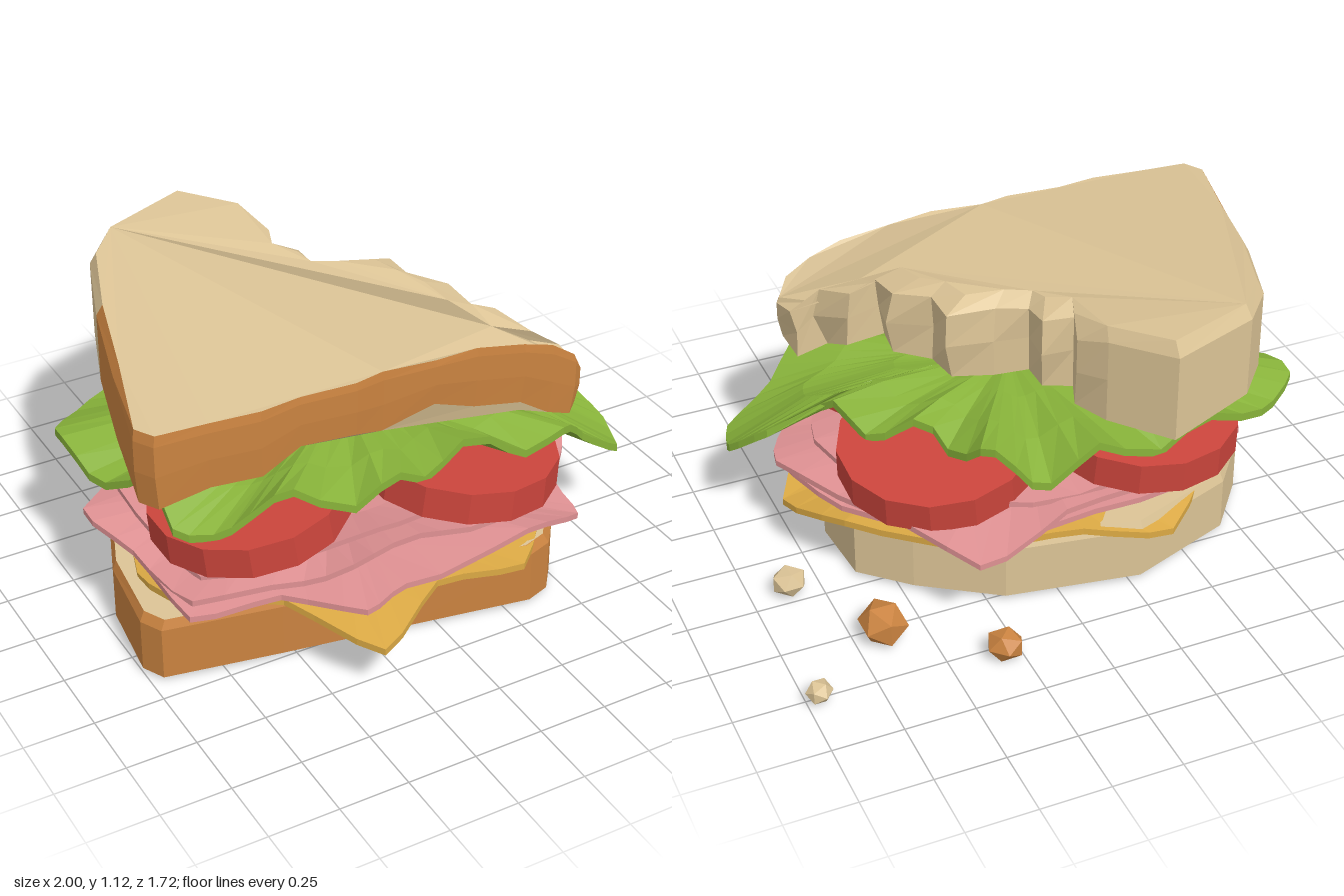
import * as THREE from 'three';

const paint = (name, color, side = THREE.FrontSide) =>
  Object.assign(new THREE.MeshStandardMaterial({ color, flatShading: true, side }), { name });

function makeMesh(name, triangles, material) {
  const geometry = new THREE.BufferGeometry();
  geometry.setAttribute('position', new THREE.Float32BufferAttribute(triangles.flat(), 3));
  geometry.computeVertexNormals();
  const mesh = new THREE.Mesh(geometry, material);
  mesh.name = name;
  return mesh;
}

// Bread slice: rows are [x, z, topY, bottomY]; the first crustCount edges are crust.
// Levels are [height fraction, front scale, bite scale, back scale].
function breadSlice(name, rows, crustCount, biteEnd, levels, crust, crumb) {
  const cx = -0.25, cz = 0.05, n = rows.length;
  const rings = levels.map(([t, front, bite, back], level) => rows.map(([x, z, top, bottom], i) => {
    const bitten = i > crustCount && i < biteEnd;
    let s = bitten ? bite : z < 0.3 ? back : front;
    if (bitten && level > 0) s += 0.035 * Math.sin(i * 2.4 + level);
    return [cx + (x - cx) * s, bottom + (top - bottom) * t, cz + (z - cz) * s];
  }));
  const crustTris = [], crumbTris = [];
  for (let k = 0; k < rings.length - 1; k++) {
    const a = rings[k], b = rings[k + 1];
    for (let i = 0; i < n; i++) {
      const j = (i + 1) % n;
      (i < crustCount ? crustTris : crumbTris).push(...a[i], ...a[j], ...b[j], ...a[i], ...b[j], ...b[i]);
    }
  }
  // top and bottom faces
  const cap = (ring, up) => {
    const outline = ring.map(p => new THREE.Vector2(p[0], -p[2]));
    for (const [a, b, c] of THREE.ShapeUtils.triangulateShape(outline, []))
      crumbTris.push(...ring[a], ...ring[up ? b : c], ...ring[up ? c : b]);
  };
  cap(rings[rings.length - 1], true);
  cap(rings[0], false);
  const group = new THREE.Group();
  group.name = name;
  group.add(makeMesh(name + 'Crust', crustTris, crust), makeMesh(name + 'Crumb', crumbTris, crumb));
  return group;
}

// Wavy leaf or slice: edge rows are [x, z, y], draping from a centre point.
function wavySheet(name, edge, centre, thick, amp, freq, material) {
  const curve = new THREE.CatmullRomCurve3(edge.map(([x, z, y]) => new THREE.Vector3(x, y, z)), true, 'catmullrom', 0.25);
  const n = edge.length * 3, c = new THREE.Vector3(...centre);
  const rings = [0, 0.4, 0.72, 1].map(r => Array.from({ length: n }, (_, i) => {
    const e = curve.getPoint(i / n);
    const ang = Math.atan2(e.z - c.z, e.x - c.x);
    const y = c.y + (e.y - c.y) * r * r * r + amp * r * r * Math.sin(freq * ang + r);
    return [c.x + (e.x - c.x) * r, y, c.z + (e.z - c.z) * r];
  }));
  const lower = p => [p[0], p[1] - thick, p[2]];
  const tris = [];
  const quad = (a, b, d, e) => tris.push(...a, ...b, ...d, ...a, ...d, ...e);
  for (let i = 0; i < n; i++) {
    const j = (i + 1) % n;
    for (let k = 0; k < 3; k++) {
      // the angle of the outline runs against the upward winding
      const a = rings[k][i], b = rings[k + 1][i], d = rings[k + 1][j], e = rings[k][j];
      quad(a, b, d, e);
      quad(...[e, d, b, a].map(lower));
    }
    const a = rings[3][i], b = rings[3][j];
    quad(lower(a), lower(b), b, a);
  }
  return makeMesh(name, tris, material);
}

export function createModel() {
  const crust = paint('crust', 0xca8340), crumb = paint('crumb', 0xdcc496);
  const green = paint('lettuce green', 0x88b33a, THREE.DoubleSide);
  const red = paint('tomato red', 0xcb453c);
  const pink = paint('ham pink', 0xdf9193, THREE.DoubleSide);
  const yellow = paint('cheese yellow', 0xdba944, THREE.DoubleSide);
  const model = new THREE.Group();
  model.name = 'sandwich';

  // lower slice
  const lowerOutline = [
    [-0.84, -0.27], [-0.96, 0.03], [-1, 0.34], [-0.96, 0.42], [-0.55, 0.5], [-0.1, 0.58], [0.34, 0.66],
    [0.43, 0.63], [0.5, 0.54], [0.64, 0.06], [0.62, -0.2], [0.46, -0.35], [0.19, -0.53], [-0.29, -0.61], [-0.68, -0.47],
  ].map(([x, z]) => [x, z, 0.26, 0.03]);
  model.add(breadSlice('lowerBread', lowerOutline, 8, 0,
    [[0, 1, 1, 1], [0.85, 1, 1, 1], [1, 0.975, 1, 0.98]], crust, crumb));

  // upper slice with a ragged bitten side
  const upperOutline = [
    [-0.83, -0.28, 1.08, 0.78], [-0.92, 0.05, 1.04, 0.76], [-1, 0.37, 1, 0.72], [-0.96, 0.44, 1, 0.72],
    [-0.78, 0.455, 1, 0.755], [-0.6, 0.475, 1, 0.75], [-0.45, 0.46, 1, 0.81], [-0.25, 0.475, 1, 0.8],
    [-0.14, 0.455, 1, 0.77], [0.05, 0.48, 1, 0.83], [0.22, 0.465, 0.99, 0.76], [0.4, 0.48, 0.96, 0.73],
    [0.52, 0.475, 0.92, 0.65], [0.61, 0.48, 0.86, 0.62], [0.65, 0.45, 0.8, 0.64],
    [0.65, 0.33, 0.84, 0.62], [0.54, 0.31, 0.92, 0.66], [0.51, 0.18, 0.96, 0.72], [0.37, 0.17, 1, 0.74],
    [0.39, 0.03, 1.02, 0.75], [0.28, -0.07, 1.04, 0.75], [0.26, -0.2, 1.04, 0.75], [0.12, -0.25, 1.05, 0.75],
    [0.0, -0.28, 1.05, 0.76], [0.0, -0.39, 1.06, 0.76], [-0.09, -0.45, 1.08, 0.77], [-0.05, -0.55, 1.08, 0.77],
    [-0.11, -0.66, 1.12, 0.77], [-0.27, -0.845, 1.13, 0.765], [-0.6, -0.72, 1.12, 0.78], [-0.72, -0.58, 1.11, 0.78],
  ];
  model.add(breadSlice('upperBread', upperOutline, 14, 27,
    [[0, 0.985, 0.97, 1], [0.45, 1, 0.99, 1], [0.86, 1, 0.98, 1], [1, 0.99, 0.84, 0.965]], crust, crumb));

  // cheese with drooping corners
  model.add(wavySheet('cheese', [
    [-0.36, 0.86, 0.23], [-0.06, 0.69, 0.27], [0.27, 0.72, 0.25], [0.55, 0.42, 0.3], [0.79, 0.06, 0.21], [0.66, -0.22, 0.29],
    [0.3, -0.55, 0.29], [-0.08, -0.58, 0.28], [-0.4, -0.63, 0.22], [-0.74, -0.3, 0.29], [-0.92, 0.15, 0.28], [-0.86, 0.4, 0.29], [-0.56, 0.53, 0.28],
  ], [-0.1, 0.3, 0.05], 0.025, 0.012, 5, yellow));

  // three folded ham slices
  model.add(wavySheet('lowerHam', [
    [-0.9, 0.52, 0.32], [-0.58, 0.55, 0.34], [-0.37, 0.76, 0.3], [-0.2, 0.72, 0.33], [0.3, 0.69, 0.35], [0.54, 0.64, 0.32],
    [0.57, 0.45, 0.35], [0.78, 0.12, 0.34], [0.66, -0.2, 0.35], [0.3, -0.55, 0.34], [-0.3, -0.57, 0.33], [-0.8, -0.35, 0.33], [-0.9, 0.1, 0.33],
  ], [-0.1, 0.34, 0.05], 0.022, 0.02, 7, pink));
  model.add(wavySheet('middleHam', [
    [-0.87, 0.48, 0.35], [-0.5, 0.56, 0.36], [-0.28, 0.64, 0.44], [0, 0.61, 0.42], [0.4, 0.6, 0.38], [0.7, 0.3, 0.36],
    [0.8, 0.08, 0.36], [0.6, -0.3, 0.39], [0.36, -0.71, 0.36], [0, -0.61, 0.39], [-0.5, -0.5, 0.38], [-1, -0.1, 0.4], [-0.93, 0.15, 0.38],
  ], [-0.1, 0.39, 0], 0.022, 0.018, 8, pink));
  model.add(wavySheet('upperHam', [
    [-0.8, 0.4, 0.39], [-0.45, 0.52, 0.42], [-0.22, 0.58, 0.5], [0.05, 0.54, 0.46], [0.5, 0.45, 0.39],
    [0.65, 0.1, 0.4], [0.5, -0.35, 0.41], [0.1, -0.55, 0.42], [-0.5, -0.5, 0.41], [-0.85, -0.15, 0.42],
  ], [-0.1, 0.42, 0], 0.02, 0.014, 6, pink));

  // tomato slices, each tipped outward
  [
    [-0.53, 0.49, 0.22, 0, 0.13], [0.22, 0.505, 0.36, 0.02, -0.1],
    [0.31, 0.485, -0.21, -0.12, -0.1], [-0.4, 0.5, -0.34, -0.08, 0.03],
  ].forEach(([x, y, z, rx, rz], i) => {
    const slice = new THREE.Mesh(new THREE.CylinderGeometry(0.345, 0.35, 0.115, 14), red);
    slice.name = 'tomatoSlice' + (i + 1);
    slice.position.set(x, y, z);
    slice.rotation.set(rx, 0, rz);
    model.add(slice);
  });

  // ruffled lettuce leaf with a long drooping tip
  model.add(wavySheet('lettuce', [
    [-0.97, -0.39, 0.53], [-0.78, -0.53, 0.6], [-0.45, -0.6, 0.58], [-0.1, -0.64, 0.62], [0.13, -0.61, 0.58], [0.27, -0.5, 0.63],
    [0.35, -0.28, 0.6], [0.54, -0.13, 0.6], [0.62, 0.1, 0.53], [0.82, 0.1, 0.46], [0.92, 0.24, 0.4], [0.88, 0.39, 0.39],
    [0.7, 0.42, 0.46], [0.56, 0.5, 0.55], [0.3, 0.55, 0.65], [0.05, 0.53, 0.66], [-0.2, 0.55, 0.6], [-0.5, 0.5, 0.64],
    [-0.7, 0.44, 0.6], [-0.87, 0.35, 0.58], [-0.85, 0.1, 0.62], [-0.95, -0.15, 0.53],
  ], [-0.05, 0.65, 0], 0.03, 0.05, 11, green));

  // fallen crumbs
  [
    [0.65, 0.08, -0.55, 0.095, crust], [0.31, 0.065, -0.8, 0.07, crust],
    [0.865, 0.068, -0.2, 0.066, crumb], [0.957, 0.06, -0.77, 0.05, crumb],
  ].forEach(([x, y, z, r, material], i) => {
    const bit = new THREE.Mesh(new THREE.IcosahedronGeometry(r, 0), material);
    bit.name = 'fallenCrumb' + (i + 1);
    bit.position.set(x, y, z);
    bit.scale.set(0.92, 0.84, 1);
    bit.rotation.y = i * 0.8;
    model.add(bit);
  });
  return model;
}
